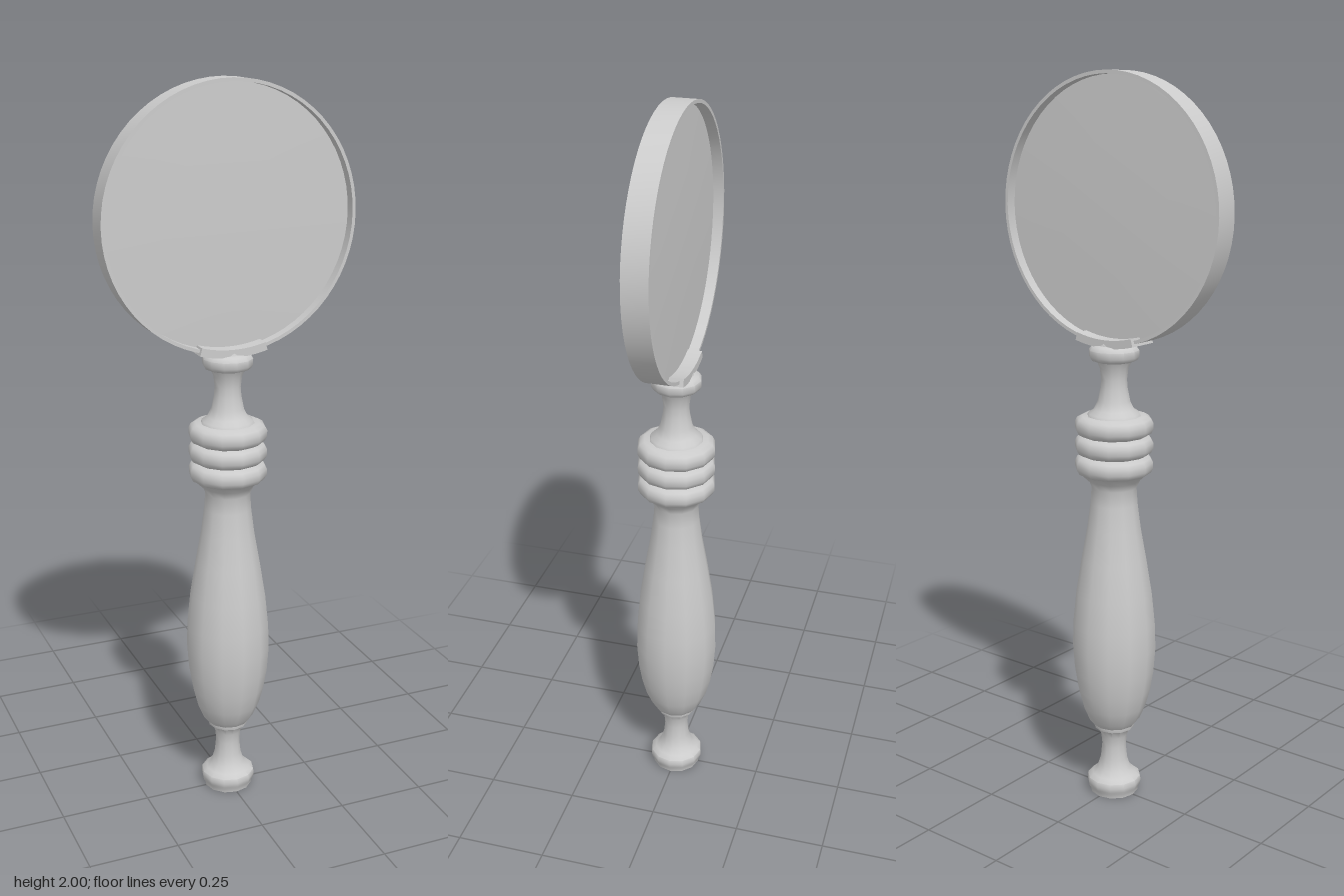
import * as THREE from 'three';
import { toCreasedNormals } from 'three/addons/utils/BufferGeometryUtils.js';

const RING_Y = 1.65;
const RING_R = 0.35;

export function createModel() {
  const group = new THREE.Group();
  const material = new THREE.MeshStandardMaterial({ color: 0xcccccc });

  const add = (name, geometry, crease = 0.8) => {
    const mesh = new THREE.Mesh(toCreasedNormals(geometry, crease), material);
    mesh.name = name;
    group.add(mesh);
    return mesh;
  };
  const lathe = (points, sides) =>
    new THREE.LatheGeometry(points.map(([r, y]) => new THREE.Vector2(r, y)), sides);

  // Turned handle pieces, profiles as [radius, height] from the bottom up
  add('pommel', lathe([
    [0, 0], [0.068, 0], [0.07, 0.012], [0.075, 0.02], [0.077, 0.032], [0.075, 0.045],
    [0.062, 0.055], [0.047, 0.07], [0.038, 0.1], [0.034, 0.14], [0.037, 0.17],
    [0.045, 0.192], [0.056, 0.197], [0.058, 0.205], [0.058, 0.215],
  ], 12));
  add('grip', lathe([
    [0, 0.208], [0.06, 0.208], [0.073, 0.225], [0.09, 0.265], [0.103, 0.315], [0.112, 0.37],
    [0.117, 0.44], [0.115, 0.51], [0.106, 0.6], [0.09, 0.7], [0.074, 0.79],
    [0.065, 0.86], [0.062, 0.905], [0.071, 0.925], [0.09, 0.943],
  ], 12));

  // Three rounded beads around the collar
  for (const y of [0.969, 1.024, 1.078]) {
    add('collarBead', lathe([
      [0, y - 0.027], [0.088, y - 0.027], [0.101, y - 0.02], [0.107, y - 0.008],
      [0.107, y + 0.008], [0.101, y + 0.02], [0.088, y + 0.027], [0, y + 0.027],
    ], 12));
  }
  add('neck', lathe([
    [0.075, 1.1], [0.07, 1.112], [0.055, 1.122], [0.044, 1.145], [0.037, 1.18],
    [0.035, 1.205], [0.039, 1.235], [0.047, 1.252], [0.062, 1.257], [0.068, 1.267],
    [0.068, 1.284], [0.06, 1.294], [0.048, 1.298], [0.045, 1.305], [0, 1.305],
  ], 12));

  // Curved saddle clamping the bottom of the ring
  const arc = 0.27;
  const shape = new THREE.Shape();
  shape.absarc(0, 0, 0.357, -Math.PI / 2 - arc, -Math.PI / 2 + arc, false);
  shape.absarc(0, 0, 0.335, -Math.PI / 2 + arc, -Math.PI / 2 - arc, true);
  const saddle = new THREE.ExtrudeGeometry(shape, { depth: 0.09, bevelEnabled: false, curveSegments: 12 });
  saddle.translate(0, RING_Y, -0.045);
  add('saddle', saddle);

  // Thin metal ring
  const ring = lathe([
    [0.341, -0.034], [RING_R, -0.034], [RING_R, 0.034], [0.341, 0.034], [0.341, -0.034],
  ], 64);
  ring.rotateX(Math.PI / 2);
  add('lensRing', ring).position.y = RING_Y;

  // Slightly domed glass set inside the ring
  const lens = lathe([
    [0, -0.011], [0.18, -0.01], [0.343, -0.006], [0.343, 0.006], [0.18, 0.01], [0, 0.011],
  ], 64);
  lens.rotateX(Math.PI / 2);
  add('lens', lens).position.y = RING_Y;

  return group;
}
